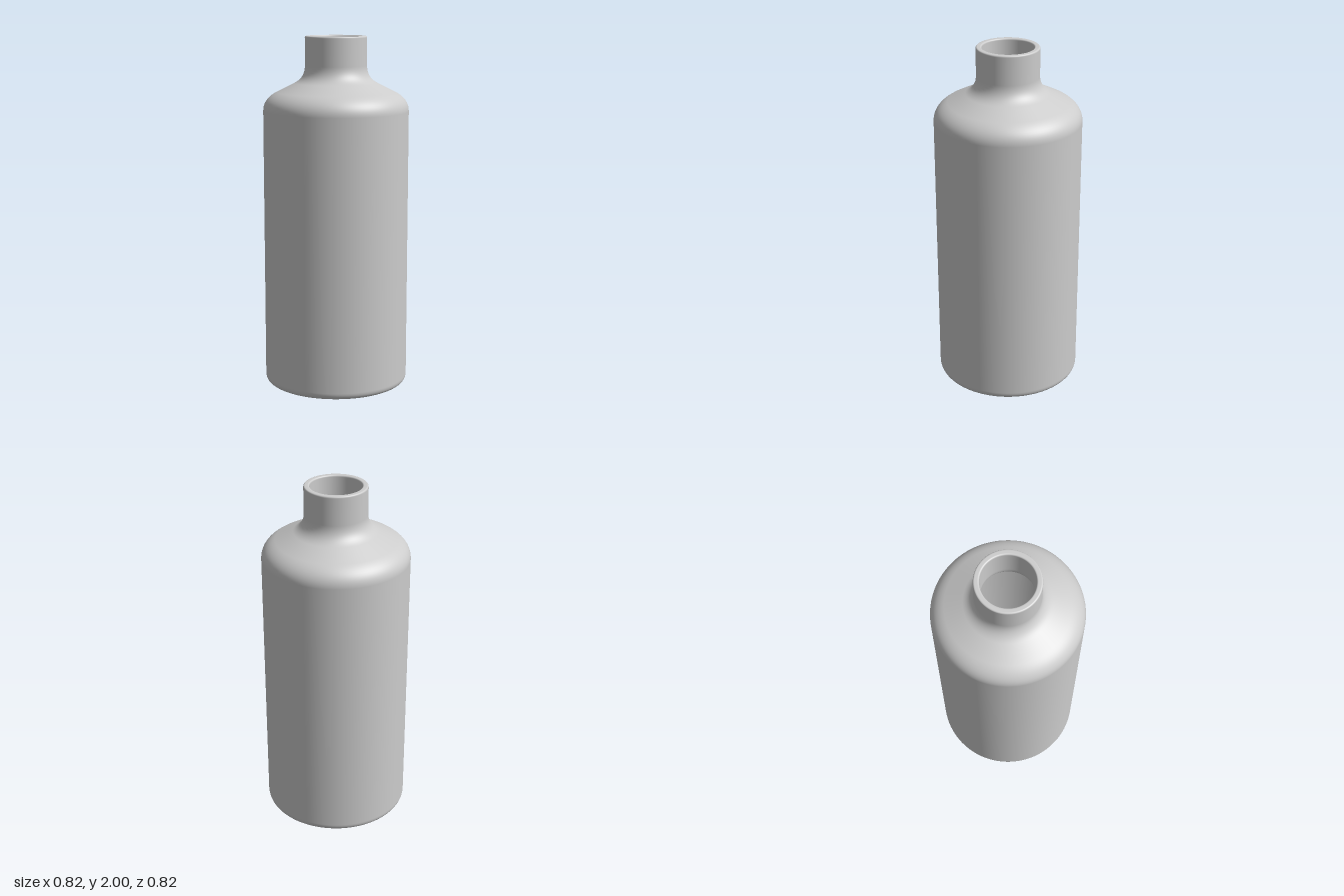
import * as THREE from 'three';

// Appends a straight run to (x, y), then a soft corner around (cx, cy) ending at (ex, ey)
function runAndCorner(path, x, y, cx, cy, ex, ey) {
  path.lineTo(x, y);
  path.quadraticCurveTo(cx, cy, ex, ey);
}

export function createModel() {
  const group = new THREE.Group();
  group.name = 'bottle';
  const grey = new THREE.MeshStandardMaterial({ color: 0xcccccc });
  grey.name = 'light grey';

  const profile = new THREE.Path();
  profile.moveTo(0, 0);
  // Outer wall: base edge, shoulder, neck root
  runAndCorner(profile, 0.37, 0, 0.412, 0, 0.412, 0.042);
  runAndCorner(profile, 0.412, 1.58, 0.412, 1.648, 0.335, 1.687);
  runAndCorner(profile, 0.235, 1.737, 0.175, 1.767, 0.175, 1.835);
  // Rounded lip
  runAndCorner(profile, 0.175, 1.99, 0.175, 2, 0.165, 2);
  runAndCorner(profile, 0.153, 2, 0.143, 2, 0.143, 1.99);
  // Hollow inside: neck root, shoulder, floor edge
  runAndCorner(profile, 0.143, 1.825, 0.143, 1.747, 0.215, 1.711);
  runAndCorner(profile, 0.32, 1.658, 0.38, 1.628, 0.38, 1.575);
  runAndCorner(profile, 0.38, 0.06, 0.38, 0.032, 0.352, 0.032);
  profile.lineTo(0, 0.032);

  const body = new THREE.Mesh(new THREE.LatheGeometry(profile.getPoints(10), 96), grey);
  body.name = 'bottleBody';
  group.add(body);
  return group;
}
